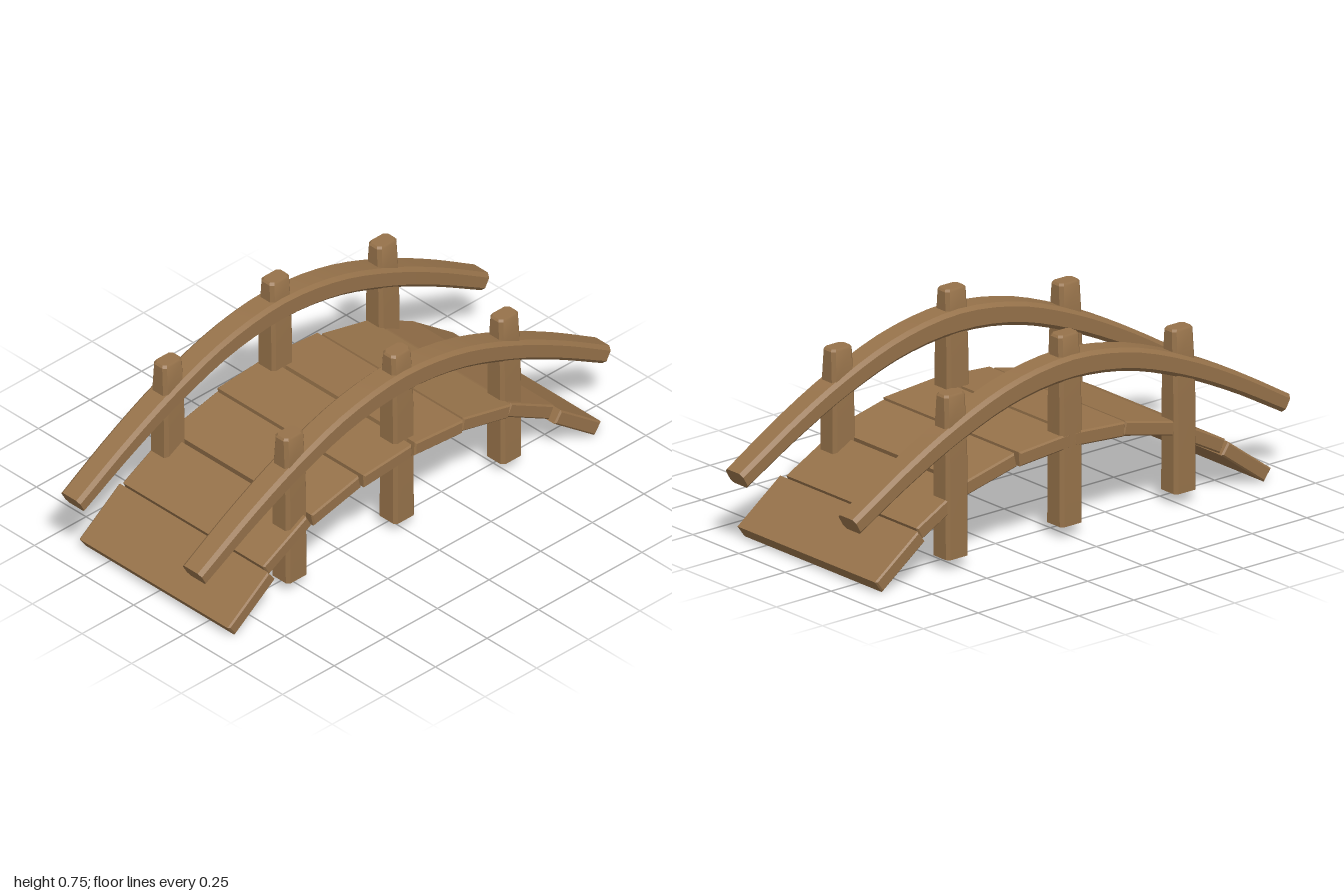
import * as THREE from 'three';
import { toCreasedNormals } from 'three/addons/utils/BufferGeometryUtils.js';

const wood = new THREE.MeshStandardMaterial({ color: 0x96724a });
const openWood = new THREE.MeshStandardMaterial({ color: 0x96724a, side: THREE.DoubleSide });

// Rectangle with cut corners, counter-clockwise
function chamferedRect(w, h, c) {
  const a = w / 2, b = h / 2;
  return [[a, c - b], [a, b - c], [a - c, b], [c - a, b], [-a, b - c], [-a, c - b], [c - a, -b], [a - c, -b]];
}

// Skin a list of rings (arrays of Vector3), optionally closing either end
function loft(rings, capStart, capEnd) {
  const n = rings[0].length, pos = [], idx = [];
  rings.forEach(r => r.forEach(p => pos.push(p.x, p.y, p.z)));
  for (let k = 0; k < rings.length - 1; k++) {
    for (let i = 0; i < n; i++) {
      const a = k * n + i, b = k * n + (i + 1) % n;
      idx.push(a, b, b + n, a, b + n, a + n);
    }
  }
  const last = (rings.length - 1) * n;
  for (let i = 1; i < n - 1; i++) {
    if (capStart) idx.push(0, i + 1, i);
    if (capEnd) idx.push(last, last + i, last + i + 1);
  }
  const g = new THREE.BufferGeometry();
  g.setAttribute('position', new THREE.Float32BufferAttribute(pos, 3));
  g.setIndex(idx);
  return toCreasedNormals(g, 0.5);
}

// Arched handrail, slimmer towards its ends
function railGeometry() {
  const half = [[0.98, 0.27], [0.75, 0.402], [0.52, 0.513], [0.26, 0.603]];
  const pts = [
    ...half.map(([z, y]) => new THREE.Vector3(0, y, -z)),
    new THREE.Vector3(0, 0.635, 0),
    ...half.slice().reverse().map(([z, y]) => new THREE.Vector3(0, y, z)),
  ];
  const curve = new THREE.CatmullRomCurve3(pts);
  const rings = [], steps = 28;
  for (let k = 0; k <= steps; k++) {
    const p = curve.getPointAt(k / steps), t = curve.getTangentAt(k / steps);
    const s = Math.abs(2 * k / steps - 1);
    const section = chamferedRect(0.102 - 0.006 * s ** 4, 0.09 - 0.022 * s, 0.014);
    rings.push(section.map(([u, v]) => new THREE.Vector3(u, p.y + v * t.z, p.z - v * t.y)));
  }
  return loft(rings, true, true);
}

// Upright post: tapers across the bridge, softened top, open foot
function postGeometry(top) {
  const levels = [
    [0.05, 0.1, 0.092], [top - 0.25, 0.1, 0.088], [top - 0.11, 0.098, 0.077],
    [top - 0.008, 0.094, 0.064], [top, 0.082, 0.054],
  ];
  return loft(levels.map(([y, dz, dx]) =>
    chamferedRect(dz, dx, 0.012).map(([u, v]) => new THREE.Vector3(v, y, u))), false, true);
}

// Deck plank with bevelled ends, long side along x
function plankGeometry(width, length, thickness) {
  const b = 0.006, l = length / 2 - b, t = thickness / 2 - b;
  const shape = new THREE.Shape([[-l, -t], [l, -t], [l, t], [-l, t]].map(p => new THREE.Vector2(...p)));
  const g = new THREE.ExtrudeGeometry(shape, {
    depth: width - 2 * b, bevelEnabled: true, bevelSegments: 1, bevelSize: b, bevelThickness: b,
  });
  g.translate(0, 0, b - width / 2);
  g.rotateY(-Math.PI / 2);
  return g;
}

export function createModel() {
  const bridge = new THREE.Group();
  bridge.name = 'footbridge';
  const add = (name, geometry, material, x, y, z) => {
    const mesh = new THREE.Mesh(geometry, material);
    mesh.name = name;
    mesh.position.set(x, y, z);
    bridge.add(mesh);
    return mesh;
  };

  // Handrails and posts on both sides
  const rail = railGeometry(), tallPost = postGeometry(0.755), shortPost = postGeometry(0.655);
  for (const [side, x] of [['left', 0.285], ['right', -0.327]]) {
    add(side + 'Handrail', rail, wood, x, 0, 0);
    add(side + 'MiddlePost', tallPost, openWood, x, 0, 0);
    add(side + 'FrontPost', shortPost, openWood, x, 0, 0.52);
    add(side + 'BackPost', shortPost, openWood, x, 0, -0.52);
  }

  // Deck planks, outermost first: z, y, tilt, length, min x, max x
  const planks = [
    [0.79, 0.099, 0.635, 0.242, -0.378, 0.378],
    [0.588, 0.232, 0.49, 0.238, -0.365, 0.348],
    [0.362, 0.319, 0.23, 0.236, -0.36, 0.36],
    [0.123, 0.357, 0.075, 0.234, -0.372, 0.372],
  ];
  for (const [end, s] of [['front', 1], ['back', -1]]) {
    planks.forEach(([z, y, tilt, length, x0, x1], i) => {
      const mesh = add(end + 'Plank' + (i + 1), plankGeometry(x1 - x0, length, 0.054), wood, (x0 + x1) / 2, y, s * z);
      mesh.rotation.x = s * tilt;
    });
  }
  return bridge;
}
